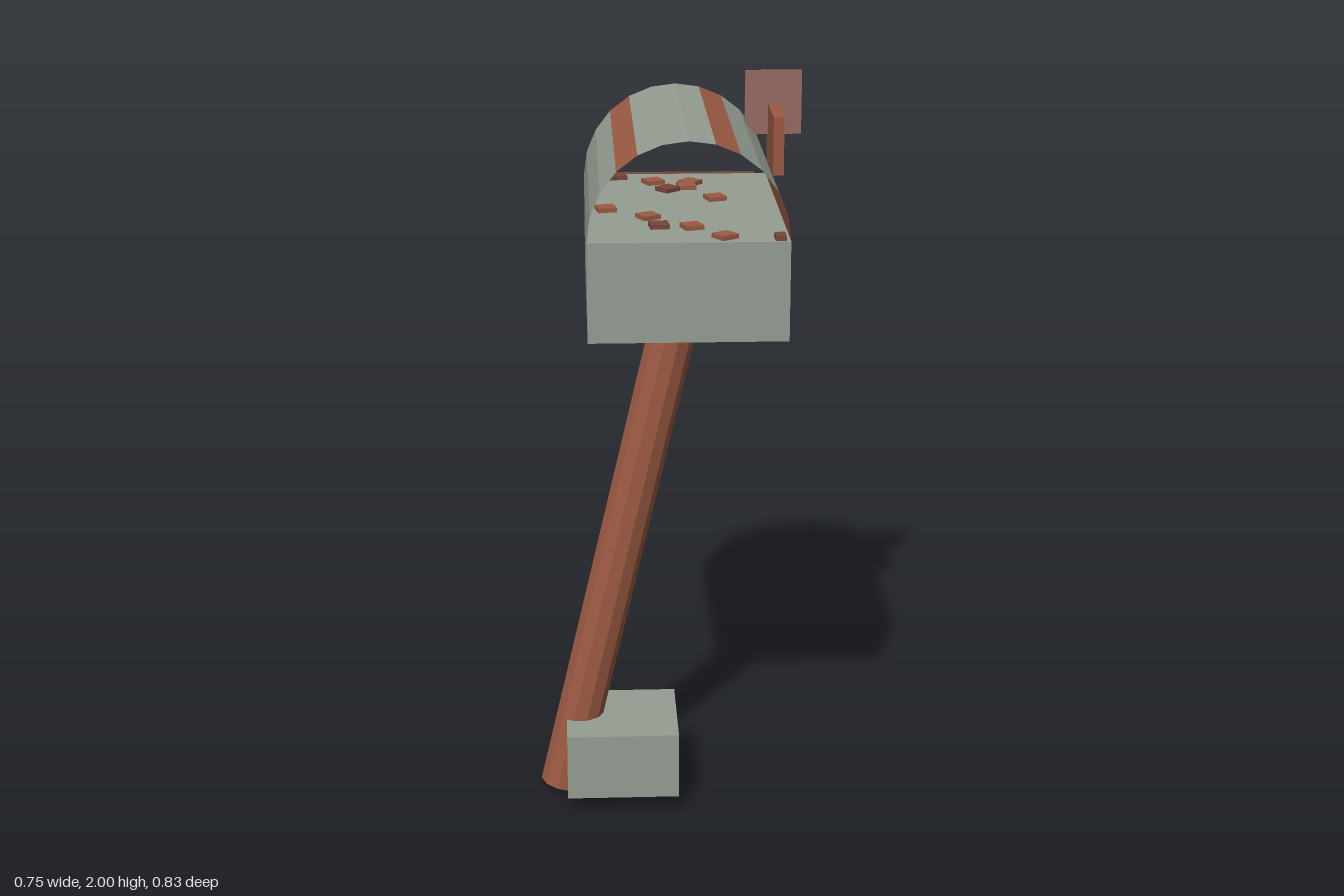
import * as THREE from 'three';

const mat = (name, color) => {
  const m = new THREE.MeshStandardMaterial({ color, flatShading: true, side: THREE.DoubleSide });
  m.name = name;
  return m;
};

export function createModel() {
  const root = new THREE.Group();
  root.name = 'mailbox';
  const grey = mat('weatheredGrey', 0x959d92);
  const rust = mat('rustBrown', 0x9c5a43);
  const darkRust = mat('darkRust', 0x774639);
  const fadedRed = mat('fadedRed', 0x956b63);
  const boltGrey = mat('boltGrey', 0x6c726c);

  const add = (name, geo, material, parent = root) => {
    const m = new THREE.Mesh(geo, material);
    m.name = name;
    parent.add(m);
    return m;
  };
  // Box given by its minimum and maximum corners
  const block = (name, material, [x0, y0, z0], [x1, y1, z1]) => {
    const m = add(name, new THREE.BoxGeometry(x1 - x0, y1 - y0, z1 - z0), material);
    m.position.set((x0 + x1) / 2, (y0 + y1) / 2, (z0 + z1) / 2);
    return m;
  };

  // Ground block and leaning post
  block('base', grey, [-0.3, 0.045, 0], [0.012, 0.235, 0.3]);
  const bottom = new THREE.Vector3(-0.313, 0.018, 0.136);
  const top = new THREE.Vector3(0.003, 1.377, 0.127);
  const axis = top.clone().sub(bottom);
  const post = add('post',
    new THREE.CylinderGeometry(0.065, 0.065, axis.length(), 11, 1, false, THREE.MathUtils.degToRad(-82)), rust);
  post.position.copy(bottom).add(top).multiplyScalar(0.5);
  post.quaternion.setFromUnitVectors(new THREE.Vector3(0, 1, 0), axis.normalize());

  // Lower half of the box
  const back = -0.383, front = 0.416, rim = 1.677, cx = 0.03, radius = 0.26;
  block('boxBody', grey, [cx - radius, 1.413, back], [cx + radius, rim, front]);

  // Open arched roof in twelve strips, every fourth one rusty
  const roof = new THREE.Group();
  roof.name = 'roof';
  roof.position.set(cx, rim, (front + back) / 2);
  root.add(roof);
  const step = Math.PI / 12;
  for (let i = 0; i < 12; i++) {
    const strip = new THREE.CylinderGeometry(radius, radius, front - back, 1, 1, true, Math.PI / 2 + i * step, step);
    strip.rotateX(Math.PI / 2);
    add(i % 4 ? 'roofStrip' : 'rustStripe', strip, i % 4 ? grey : rust, roof);
  }

  // Door at the back with a raised plate
  block('door', darkRust, [-0.2, 1.467, -0.411], [0.258, 1.677, back]);
  block('doorPlate', grey, [-0.16, 1.535, -0.417], [0.215, 1.66, -0.41]);

  // Signal flag
  block('flagBracket', rust, [0.281, 1.747, -0.249], [0.31, 1.907, -0.033]);
  block('flag', fadedRed, [0.217, 1.823, -0.234], [0.374, 2, -0.222]);

  // Bolts under the box
  for (const x of [-0.155, 0.1]) {
    for (const z of [0.31, -0.2]) {
      add('bolt', new THREE.CylinderGeometry(0.02, 0.02, 0.014, 8), boltGrey).position.set(x, 1.407, z);
    }
  }

  // Rust flakes lying inside: x, z, turn
  const flakes = [
    [-0.175, 0.06, 0.2], [-0.065, 0.15, 0.5], [-0.04, 0.25, 0.1], [0.045, 0.264, 0.3],
    [0.125, 0.37, 0.6], [0.265, 0.385, 0], [0.125, -0.06, 0.3], [0.054, -0.2, 0.1],
    [0.0, -0.17, 0.7], [-0.037, -0.263, 0.4], [0.067, -0.25, 0.9], [-0.137, -0.331, 0.2],
  ];
  flakes.forEach(([x, z, turn], i) => {
    const w = x > 0.2 ? 0.028 : 0.05;
    const flake = add('rustFlake', new THREE.BoxGeometry(w, 0.012, 0.05), i % 3 === 2 ? darkRust : rust);
    flake.position.set(x, rim + 0.006, z);
    flake.rotation.y = turn;
  });

  return root;
}
